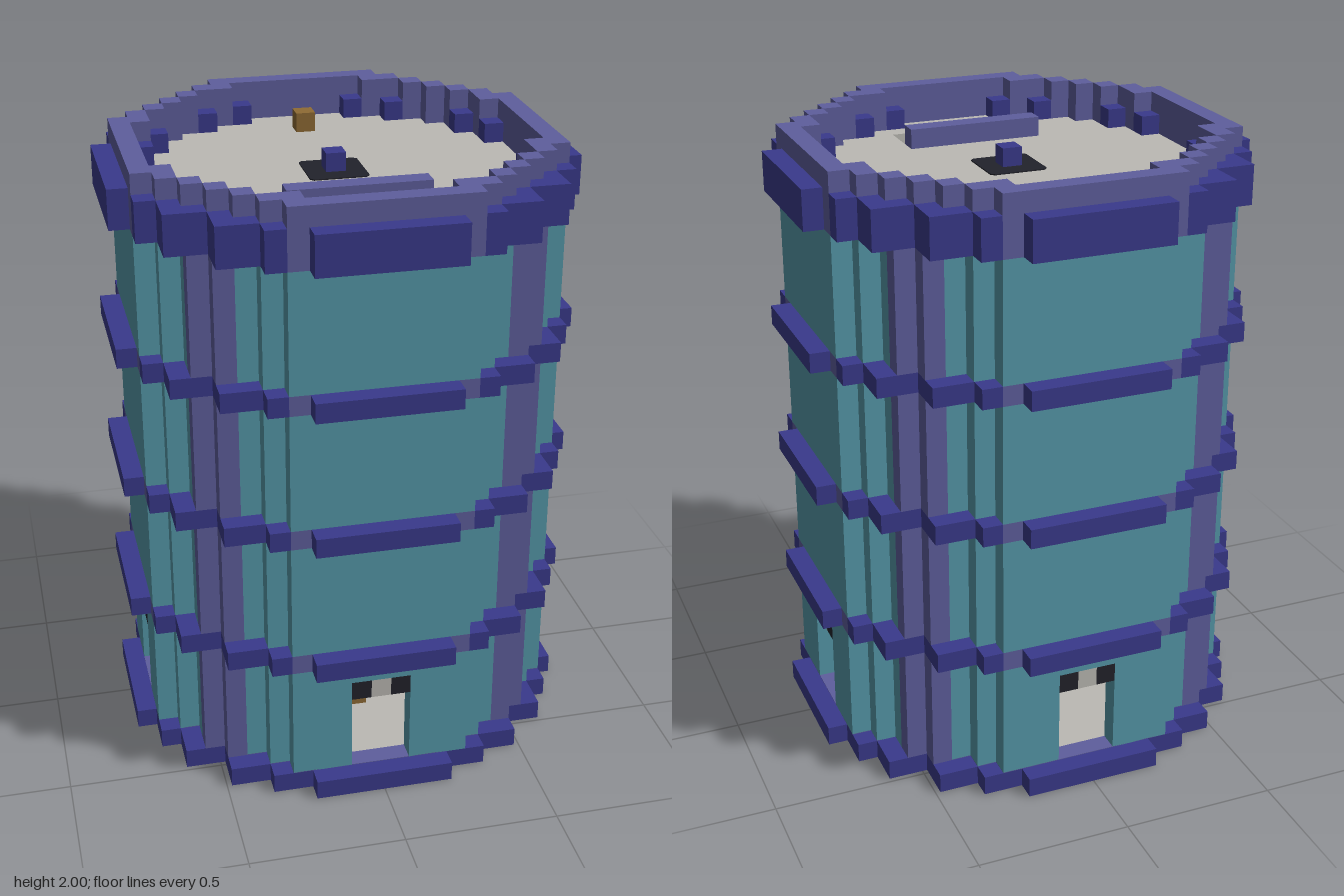
import * as THREE from 'three';

const V = 2 / 31; // one block

// Plan outlines: half-width in blocks for each row away from the centre
const RING = [11, 11, 11, 11, 10, 10, 9, 9, 7, 7, 5, 3];
const WALL = [10, 10, 10, 10, 10, 9, 8, 8, 7, 5, 4];
const CORE = [10, 10, 10, 10, 10, 9, 8, 7, 6, 5, 4];
const FLOOR = [9, 9, 9, 8, 8, 7, 7, 6, 4, 2];
const within = (rows) => (x, z) => Math.abs(z) < rows.length && Math.abs(x) <= rows[Math.abs(z)];
const inRing = within(RING), inWall = within(WALL), inCore = within(CORE), inFloor = within(FLOOR);

const small = (x, z) => Math.min(Math.abs(x), Math.abs(z));
const large = (x, z) => Math.max(Math.abs(x), Math.abs(z));
const is = (x, z, a, b) => small(x, z) === a && large(x, z) === b;

const shell = (x, z) => inWall(x, z) && !inFloor(x, z);
const corner = (x, z) => is(x, z, 7, 8);
const innerStud = (x, z) => is(x, z, 3, 9) || is(x, z, 5, 8);
const door = (x, z) => shell(x, z) && small(x, z) <= 1;
const ledge = (x, z) => inRing(x, z) && !inCore(x, z);
const bandCore = (x, z) => inCore(x, z) && !inFloor(x, z);
const stairwell = (x, z) => x >= -2 && x <= 3 && (z === 6 || z === 7);
const inlay = (x, z) => (large(x, z) === 9 && small(x, z) <= 2) ||
  (Math.abs(x) + Math.abs(z) === 11 && small(x, z) >= 4);

// Extrudes every plan cell that passes the test, with only its outer faces
function layerGeometry(inside, y0, y1) {
  const pos = [];
  const quad = (a, b, c, d) => pos.push(...a, ...b, ...c, ...a, ...c, ...d);
  for (let x = -11; x <= 11; x++) for (let z = -11; z <= 11; z++) {
    if (!inside(x, z)) continue;
    const p = (dx, y, dz) => [(x + dx) * V, y * V, (z + dz) * V];
    for (const [nx, nz] of [[1, 0], [-1, 0], [0, 1], [0, -1]]) {
      if (inside(x + nx, z + nz)) continue;
      const c = (s, y) => p((nx + s * nz) / 2, y, (nz - s * nx) / 2);
      quad(c(-1, y0), c(1, y0), c(1, y1), c(-1, y1));
    }
    quad(p(-.5, y1, .5), p(.5, y1, .5), p(.5, y1, -.5), p(-.5, y1, -.5));
    quad(p(-.5, y0, -.5), p(.5, y0, -.5), p(.5, y0, .5), p(-.5, y0, .5));
  }
  const g = new THREE.BufferGeometry();
  g.setAttribute('position', new THREE.Float32BufferAttribute(pos, 3));
  g.computeVertexNormals();
  return g;
}

export function createModel() {
  const model = new THREE.Group();
  model.name = 'tower';
  const paint = (name, color) => {
    const m = new THREE.MeshStandardMaterial({ color });
    m.name = name;
    return m;
  };
  const teal = paint('teal', 0x569aaa);
  const navy = paint('navy', 0x3a3a8c);
  const lavender = paint('lavender', 0x5f5f9e);
  const stone = paint('paleStone', 0xbcbab4);
  const black = paint('black', 0x22232b);
  const soot = paint('soot', 0x222222);
  const grey = paint('darkGrey', 0x505050);
  const gold = paint('gold', 0x8f6b34);

  const layer = (name, mat, inside, y0, y1) => {
    const mesh = new THREE.Mesh(layerGeometry(inside, y0, y1), mat);
    mesh.name = name;
    model.add(mesh);
  };
  const block = (name, mat, x, y, z, w = 1, h = 1, d = 1) => {
    const mesh = new THREE.Mesh(new THREE.BoxGeometry(w * V, h * V, d * V), mat);
    mesh.name = name;
    mesh.position.set(x * V, (y + h / 2) * V, z * V);
    model.add(mesh);
  };

  // Base with dark underside and inlaid dashes
  layer('baseRing', navy, (x, z) => inRing(x, z) && !inFloor(x, z), 0, 1);
  layer('baseThreshold', lavender, bandCore, 1, 1.03);
  layer('baseFloor', soot, (x, z) => inFloor(x, z) && !inlay(x, z), 0, 1);
  layer('floorInlay', grey, inlay, 0, 1);
  layer('groundFloor', stone, inFloor, 1, 1.03);

  // Four storeys of wall with accent columns at the diagonals
  for (const [y0, y1] of [[1, 6], [6, 7], [8, 14], [15, 21], [22, 28]]) {
    layer('wall', teal, (x, z) => shell(x, z) && !corner(x, z) && !(y0 === 1 && door(x, z)), y0, y1);
    layer('cornerColumn', lavender, corner, y0, y1);
  }

  // Door heads
  layer('doorCorner', black, (x, z) => door(x, z) && small(x, z) === 1, 5, 6);
  layer('doorKeystone', stone, (x, z) => door(x, z) && small(x, z) === 0, 5, 6);

  // Bands between storeys, with inner floors
  for (const y of [7, 14, 21]) {
    layer('bandLedge', navy, ledge, y, y + 1);
    layer('bandCore', lavender, bandCore, y, y + 1);
    layer('storeyFloor', stone, (x, z) => inFloor(x, z) && !stairwell(x, z), y, y + 1);
  }

  // Crown: double ledge, parapet and inner studs
  layer('crownLedge', navy, ledge, 28, 30);
  layer('crownStud', navy, innerStud, 28, 30);
  layer('parapet', lavender, (x, z) => bandCore(x, z) && !innerStud(x, z), 28, 31);
  layer('roofFloor', stone, (x, z) => inFloor(x, z) && !stairwell(x, z), 28, 29);

  // Roof fittings
  const s = 1.48, k = 1.3;
  const padShape = new THREE.Shape([[s, k], [k, s], [-k, s], [-s, k], [-s, -k], [-k, -s], [k, -s], [s, -k]]
    .map(([x, y]) => new THREE.Vector2(x * V, y * V)));
  const pad = new THREE.Mesh(new THREE.ExtrudeGeometry(padShape, { depth: 0.004, bevelEnabled: false }), black);
  pad.name = 'roofPad';
  pad.rotation.x = -Math.PI / 2;
  pad.position.y = 29 * V;
  model.add(pad);
  block('roofPost', navy, 0, 29, 0);
  block('roofChest', gold, 0, 29, -7);
  block('stairRail', lavender, 0, 29, 5, 7);

  // Stairs going down from the roof
  for (let i = 0; i < 6; i++) block('roofStep', stone, i - 2, 27 - i, 6.5, 1, 1, 2);

  // Ground floor fittings seen through the doors
  block('lowerStep', stone, 0, 3, 6.5, 1, 1, 2);
  block('lowerStep', stone, -1, 4, 6.5, 1, 1, 2);
  block('stepSupport', grey, -1, 3, 6.5, 1, 1, 2);
  block('stepSupport', grey, 0, 4, 5.5);
  block('chest', gold, 0, 1, 5);
  block('centrePost', black, 0, 1, 0, 1, 2);
  block('centrePost', stone, 0, 3, 0);
  block('centrePost', black, 0, 4, 0, 1, 3);

  return model;
}
